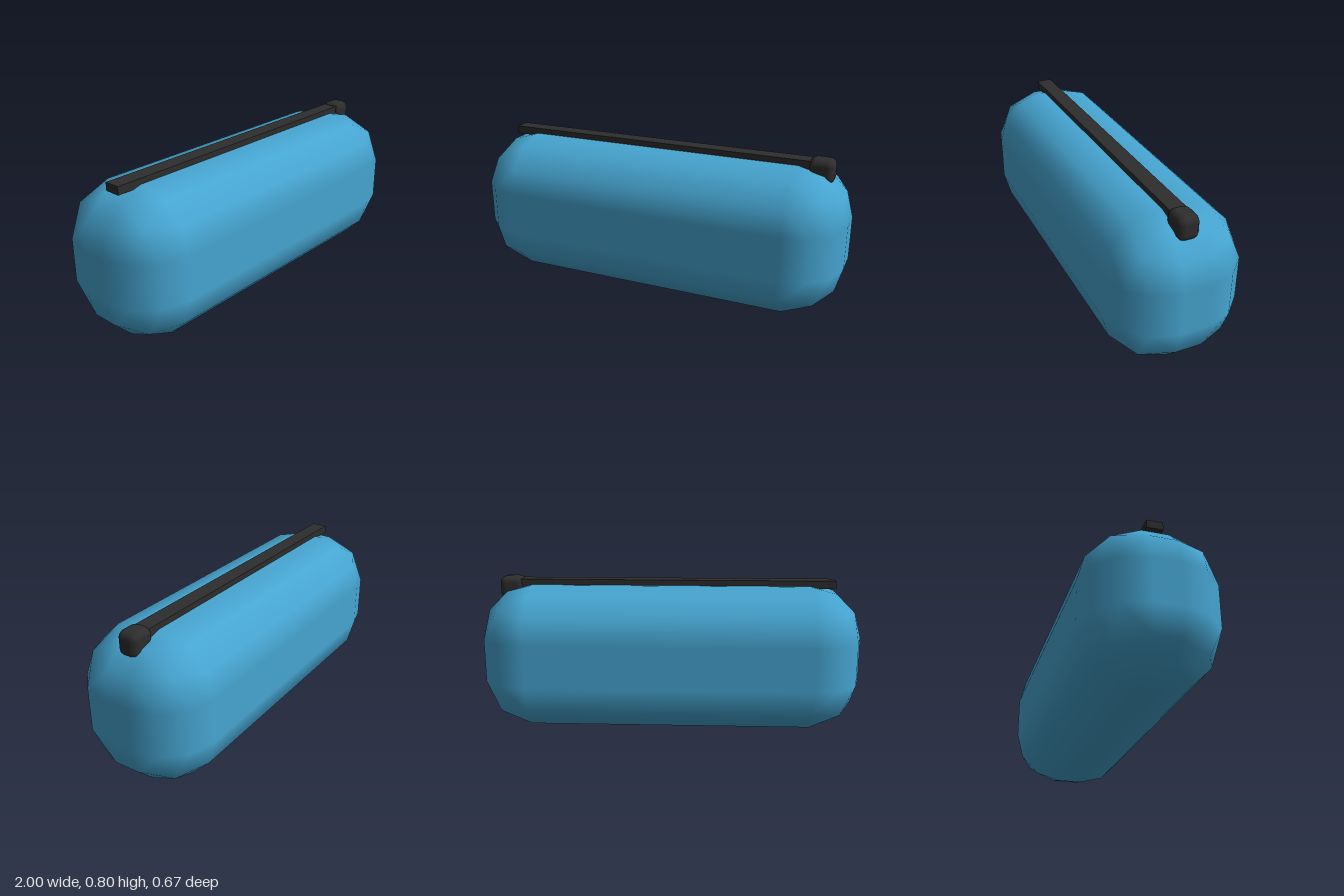
import * as THREE from 'three';
import { ConvexGeometry } from 'three/addons/geometries/ConvexGeometry.js';

// Box with fully rounded edges in three 30 degree steps and smooth normals.
function bevelledBox(w, h, d, r) {
  const core = new THREE.Vector3(w / 2 - r, h / 2 - r, d / 2 - r);
  const c = Math.cos(Math.PI / 6), s = 0.5, m = 1 / Math.sqrt(3);
  const dirs = [
    [1, 0, 0], [0, 1, 0], [0, 0, 1],
    [c, s, 0], [s, c, 0], [0, c, s], [0, s, c], [c, 0, s], [s, 0, c],
    [m, m, m],
  ];
  const points = [];
  for (const sx of [-1, 1]) for (const sy of [-1, 1]) for (const sz of [-1, 1]) {
    for (const [x, y, z] of dirs) {
      points.push(new THREE.Vector3(
        sx * (core.x + r * x), sy * (core.y + r * y), sz * (core.z + r * z)));
    }
  }
  const geometry = new ConvexGeometry(points);

  // Each normal points away from the nearest point of the inner core box.
  const pos = geometry.attributes.position, nor = geometry.attributes.normal;
  const low = core.clone().negate();
  const p = new THREE.Vector3(), q = new THREE.Vector3();
  for (let i = 0; i < pos.count; i++) {
    p.fromBufferAttribute(pos, i);
    q.copy(p).clamp(low, core);
    p.sub(q).normalize();
    nor.setXYZ(i, p.x, p.y, p.z);
  }
  return geometry;
}

export function createModel() {
  const blue = new THREE.MeshStandardMaterial({ color: 0x46a5d1 });
  blue.name = 'blue';
  const black = new THREE.MeshStandardMaterial({ color: 0x2d2d2d });
  black.name = 'black';

  const model = new THREE.Group();
  function add(name, geometry, material, x, y, z) {
    const mesh = new THREE.Mesh(geometry, material);
    mesh.name = name;
    mesh.position.set(x, y, z);
    model.add(mesh);
  }

  // Long pouch-like body
  add('body', bevelledBox(2, 0.757, 0.667, 0.267), blue, 0, 0.3785, 0);
  // Strip along the top, and the rounded pull at its left end
  add('zipStrip', new THREE.BoxGeometry(1.69, 0.042, 0.082), black, -0.02, 0.765, 0);
  add('zipPull', bevelledBox(0.128, 0.124, 0.11, 0.035), black, 0.844, 0.738, 0);

  return model;
}
